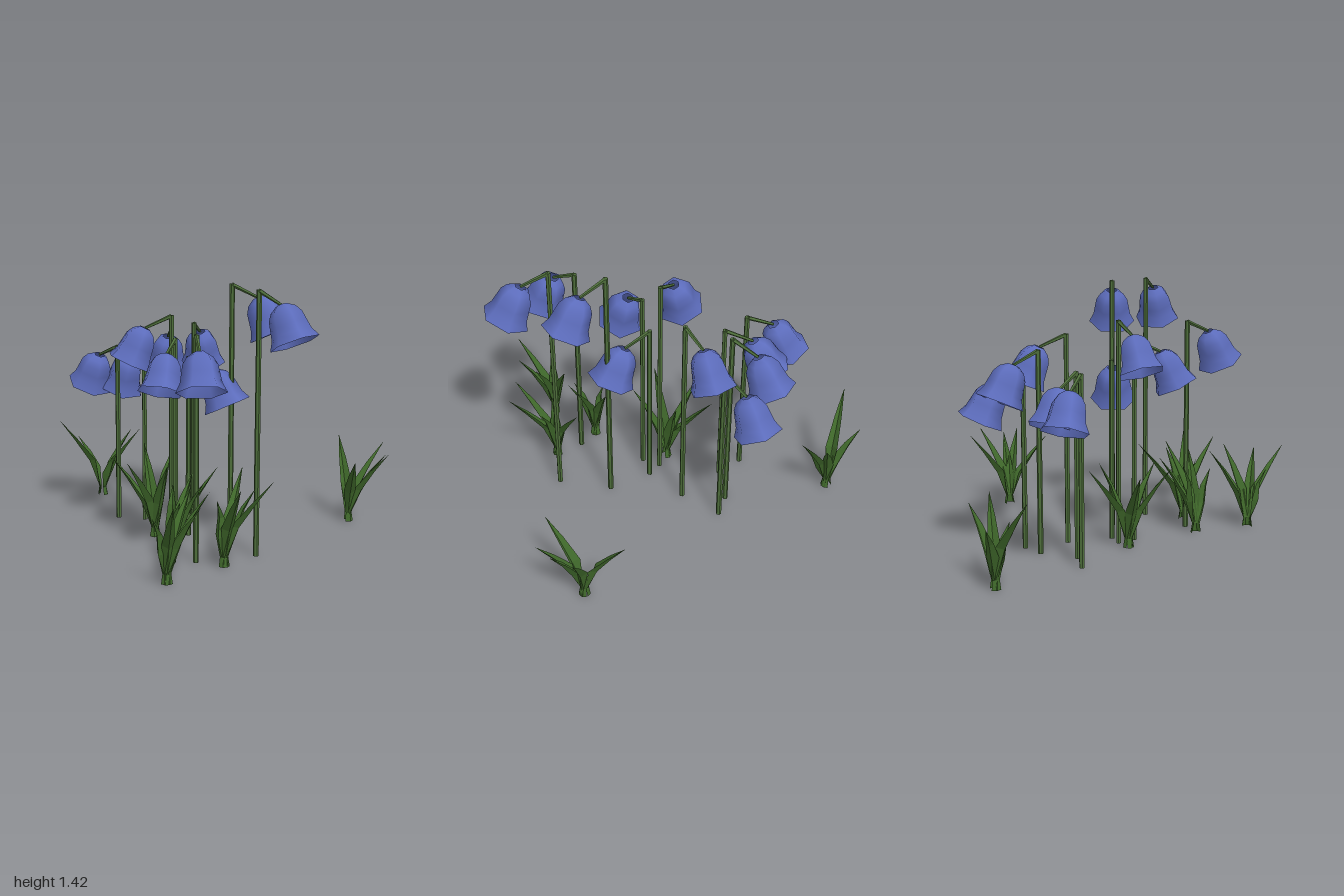
import * as THREE from 'three';

const mat = (name, color, extra = {}) => {
  const m = new THREE.MeshStandardMaterial({ color, ...extra });
  m.name = name;
  return m;
};

// One blossom stalk: [stem x, stem z, stem height, bell top x, bell top z]
const FLOWERS = [
  [-0.24, -0.44, 1.1, -0.32, -0.56],
  [-0.145, -0.53, 0.97, -0.19, -0.67],
  [-0.04, -0.305, 1.157, -0.065, -0.445],
  [-0.32, -0.24, 1.0, -0.45, -0.315],
  [-0.475, -0.21, 1.015, -0.615, -0.255],
  [-0.05, -0.025, 1.23, -0.17, 0.05],
  [0.012, 0.06, 1.12, 0.025, 0.2],
  [0.035, -0.063, 1.005, 0.18, -0.059],
  [0.285, -0.065, 1.41, 0.43, -0.068],
  [0.51, 0.126, 1.405, 0.645, 0.17],
  [0.265, 0.355, 1.19, 0.335, 0.475],
];

// Leaf clumps: base position and the tip of each leaf relative to it [x, z, height]
const CLUMPS = [
  { at: [-0.8, -0.62], tips: [[-0.2, 0.18, 0.49], [-0.18, -0.02, 0.35], [0.13, -0.14, 0.4], [0.235, -0.05, 0.43], [0.14, 0.06, 0.3]] },
  { at: [0.76, -0.705], tips: [[-0.13, -0.215, 0.45], [0.145, -0.19, 0.44], [0.2, -0.05, 0.4], [0.237, 0.03, 0.42], [0.1, 0.22, 0.4]] },
  { at: [-0.125, 0.03], tips: [[-0.17, -0.21, 0.47], [0.14, 0.14, 0.44], [-0.05, 0.235, 0.46], [-0.235, 0.06, 0.44], [0.03, -0.16, 0.46]] },
  { at: [0.145, 0.41], tips: [[0.03, -0.21, 0.43], [0.19, -0.17, 0.49], [0.18, -0.04, 0.45], [0.09, 0.08, 0.35], [-0.02, -0.08, 0.4]] },
  { at: [0.265, 0.71], tips: [[0.13, 0.205, 0.45], [0.2, 0.05, 0.42], [0.17, -0.13, 0.45], [0.03, -0.22, 0.44], [-0.03, 0.1, 0.35]] },
  { at: [0.42, 0.35], tips: [[-0.01, -0.27, 0.46], [0.27, 0.01, 0.48], [0.16, 0.18, 0.46], [0.13, -0.1, 0.4], [-0.01, 0.07, 0.36]] },
];

// Folded pointed blade reaching along +x: a keel with a raised edge on each side
function leafGeometry(reach, height) {
  // [outward, up, half width, edge lift]
  const sections = [
    [0.027, 0, 0.014, 0],
    [0.02, 0.05, 0.013, 0.002],
    [0.05 + reach * 0.12, height * 0.45, 0.033, 0.03],
    [reach * 0.66, height * 0.74, 0.02, 0.015],
    [reach, height, 0.001, 0],
  ];
  const pos = [], idx = [];
  sections.forEach(([x, y, w, lift], i) => {
    pos.push(x - lift, y + lift * 0.4, -w, x, y, 0, x - lift, y + lift * 0.4, w);
    if (!i) return;
    for (let j = 0; j < 2; j++) {
      const a = (i - 1) * 3 + j, b = a + 3;
      idx.push(a, b, a + 1, b, b + 1, a + 1);
    }
  });
  const g = new THREE.BufferGeometry();
  g.setAttribute('position', new THREE.Float32BufferAttribute(pos, 3));
  g.setIndex(idx);
  g.computeVertexNormals();
  return g;
}

export function createModel() {
  const model = new THREE.Group();
  model.name = 'bellflowers';
  const petal = mat('petalBlue', 0x5d6dbd, { side: THREE.DoubleSide });
  const stemGreen = mat('stemGreen', 0x4d6d3a, { flatShading: true });
  const leafGreen = mat('leafGreen', 0x40692b, { side: THREE.DoubleSide, flatShading: true });

  // Six-sided bell, open at both ends, with its top at the origin
  const bellProfile = [
    [0.13, -0.205], [0.105, -0.155], [0.097, -0.11],
    [0.088, -0.06], [0.066, -0.024], [0.03, 0],
  ].map(([r, y]) => new THREE.Vector2(r, y));
  const bellGeometry = new THREE.LatheGeometry(bellProfile, 6);

  for (const [x, z, h, bx, bz] of FLOWERS) {
    const flower = new THREE.Group();
    flower.name = 'flower';
    flower.position.set(x, 0, z);
    flower.rotation.y = -Math.atan2(bz - z, bx - x);
    const reach = Math.hypot(bx - x, bz - z), drop = 0.062;

    const stem = new THREE.Mesh(new THREE.CylinderGeometry(0.014, 0.015, h, 6), stemGreen);
    stem.name = 'stem';
    stem.position.y = h / 2;

    // Thin drooping arm from the stem tip to the bell
    const arm = new THREE.Mesh(
      new THREE.CylinderGeometry(0.008, 0.012, Math.hypot(reach, drop), 5), stemGreen);
    arm.name = 'arm';
    arm.position.set(reach / 2, h - 0.005 - drop / 2, 0);
    arm.rotation.z = -Math.PI / 2 - Math.atan2(drop, reach);

    const bell = new THREE.Mesh(bellGeometry, petal);
    bell.name = 'bell';
    bell.position.set(reach, h - drop - 0.005, 0);
    bell.rotation.z = THREE.MathUtils.degToRad(25);

    flower.add(stem, arm, bell);
    model.add(flower);
  }

  for (const { at, tips } of CLUMPS) {
    const clump = new THREE.Group();
    clump.name = 'leafClump';
    clump.position.set(at[0], 0, at[1]);
    for (const [x, z, h] of tips) {
      const leaf = new THREE.Mesh(leafGeometry(Math.hypot(x, z), h), leafGreen);
      leaf.name = 'leaf';
      leaf.rotation.y = -Math.atan2(z, x);
      clump.add(leaf);
    }
    model.add(clump);
  }
  return model;
}
